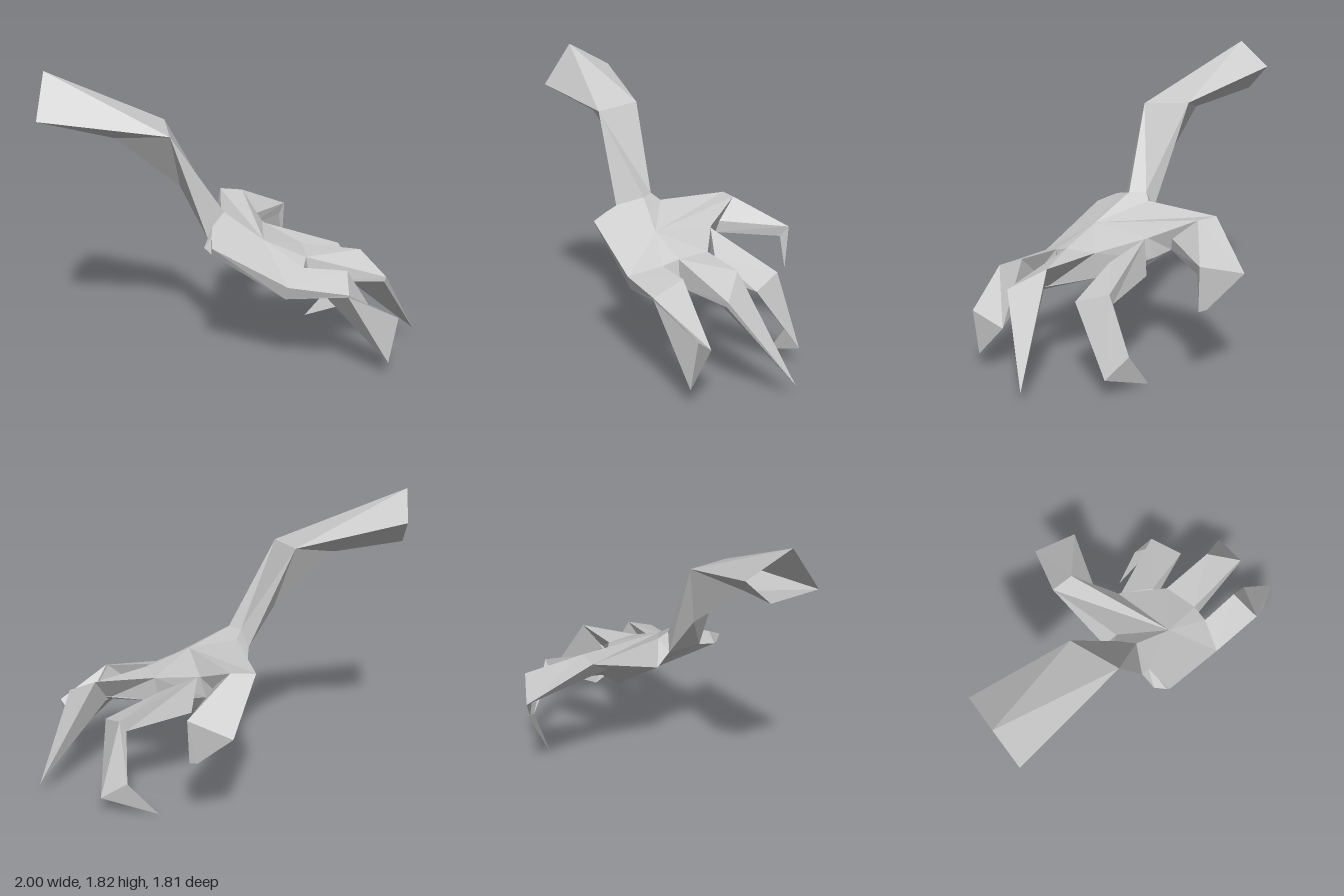
import * as THREE from 'three';

const material = new THREE.MeshStandardMaterial({ color: 0xcccccc, flatShading: true, side: THREE.DoubleSide });

function meshFrom(name, triangles) {
  const geometry = new THREE.BufferGeometry();
  geometry.setAttribute('position', new THREE.Float32BufferAttribute(triangles.flat(2), 3));
  geometry.computeVertexNormals();
  const mesh = new THREE.Mesh(geometry, material);
  mesh.name = name;
  return mesh;
}

// Faceted tube through a list of rings with equal corner counts
function loft(name, rings) {
  const tris = [];
  for (let r = 0; r + 1 < rings.length; r++) {
    const a = rings[r], b = rings[r + 1];
    a.forEach((p, i) => {
      const j = (i + 1) % a.length;
      tris.push([p, a[j], b[i]], [a[j], b[j], b[i]]);
    });
  }
  return meshFrom(name, tris);
}

// Index knuckle, shared by the palm and the finger
const indexKnuckle = [
  [-0.47, 0.905, -0.37], [-0.34, 0.905, -0.445], [-0.2, 0.775, -0.37], [-0.2, 0.7, -0.345], [-0.34, 0.81, -0.3],
];

// Palm: paired upper and lower rim points, closed by a fan above and below
function palm() {
  const [k0, k1, , k3, k4] = indexKnuckle;
  const rim = [
    [[-0.12, 0.92, 0], [-0.2, 0.76, 0]],
    [[-0.115, 0.965, 0.06], [-0.165, 0.85, 0.07]],
    [[-0.01, 0.957, 0.09], [-0.08, 0.84, 0.16]],
    [[0.04, 0.915, 0.25], [0, 0.83, 0.25]],
    [[0.09, 0.88, 0.31], [0.06, 0.81, 0.345]],
    [[0.155, 0.835, 0.375], [0.135, 0.79, 0.36]],
    [[0.52, 0.6, 0.1], [0.49, 0.515, 0.09]],
    [[0.475, 0.66, -0.1], [0.48, 0.53, -0.1]],
    [[0.42, 0.69, -0.19], [0.45, 0.53, -0.2]],
    [[0.265, 0.7, -0.345], [0.25, 0.54, -0.33]],
    [[-0.06, 0.775, -0.33], [-0.1, 0.65, -0.33]],
    [k1, k3],
    [k0, k4],
  ];
  const above = [0.22, 0.8, -0.02], below = [0.03, 0.525, -0.27];
  const tris = [];
  rim.forEach(([t, b], i) => {
    const [t2, b2] = rim[(i + 1) % rim.length];
    tris.push([above, t, t2], [below, b2, b], [t, b, b2], [t, b2, t2]);
  });
  return meshFrom('palm', tris);
}

// Forearm: wrist, inner bend, elbow and open end
function arm() {
  const wrist = [[-0.01, 0.957, 0.09], [-0.115, 0.965, 0.06], [-0.165, 0.85, 0.07], [0, 0.83, 0.25]];
  const corner = [-0.16, 1.47, 0.4], back = [-0.41, 1.5, 0.2];
  const inner = [-0.26, 1.1, 0.22], under = [-0.525, 1.42, 0.51];
  const front = [-0.785, 1.55, 0.9];
  return loft('arm', [
    wrist,
    [corner, back, inner, corner],
    [corner, back, under, corner],
    [corner, back, under, front],
    [[-0.885, 1.82, 0.745], [-1, 1.675, 0.5], [-0.915, 1.515, 0.64], front],
  ]);
}

export function createModel() {
  const group = new THREE.Group();
  group.name = 'hand';
  group.add(palm(), arm());

  // Finger rings run from upper left over the right side to lower left
  const indexLeft = [-0.55, 0.665, -0.76], indexRight = [-0.275, 0.735, -0.81];
  const clawLeft = [-0.325, 0.465, -0.785], clawRight = [-0.275, 0.455, -0.79];
  group.add(loft('indexFinger', [
    indexKnuckle,
    [indexLeft, indexRight, indexRight, [-0.275, 0.67, -0.755], indexLeft],
    [clawLeft, clawRight, clawRight, clawRight, clawLeft],
  ]));

  const middleEnd = [0.285, 0.12, -0.91];
  group.add(loft('middleFinger', [
    [[-0.04, 0.77, -0.33], [0.18, 0.65, -0.38], [0.175, 0.535, -0.33], [-0.04, 0.56, -0.4]],
    [[0.235, 0.58, -0.765], [0.42, 0.51, -0.655], [0.41, 0.505, -0.65], [0.21, 0.51, -0.73]],
    [middleEnd, middleEnd, middleEnd, [0.135, 0.225, -0.84]],
    Array(4).fill([0, 0, -0.715]),
  ]));

  group.add(loft('ringFinger', [
    [[0.265, 0.7, -0.345], [0.42, 0.69, -0.19], [0.45, 0.53, -0.2], [0.25, 0.54, -0.33]],
    [[0.57, 0.68, -0.55], [0.8, 0.56, -0.52], [0.79, 0.53, -0.51], [0.58, 0.515, -0.42]],
    Array(4).fill([0.76, 0.075, -0.905]),
  ]));

  const littleLeft = [0.83, 0.285, -0.43], littleTip = [0.97, 0.095, -0.33];
  group.add(loft('littleFinger', [
    [[0.475, 0.66, -0.1], [0.52, 0.6, 0.1], [0.49, 0.515, 0.09], [0.48, 0.53, -0.1]],
    [[0.695, 0.655, -0.25], [0.825, 0.575, -0.1], [0.82, 0.56, -0.1], [0.6, 0.52, -0.13]],
    [littleLeft, [1, 0.39, -0.375], littleTip, littleLeft],
    [littleLeft, littleTip, littleTip, littleLeft],
  ]));
  return group;
}
